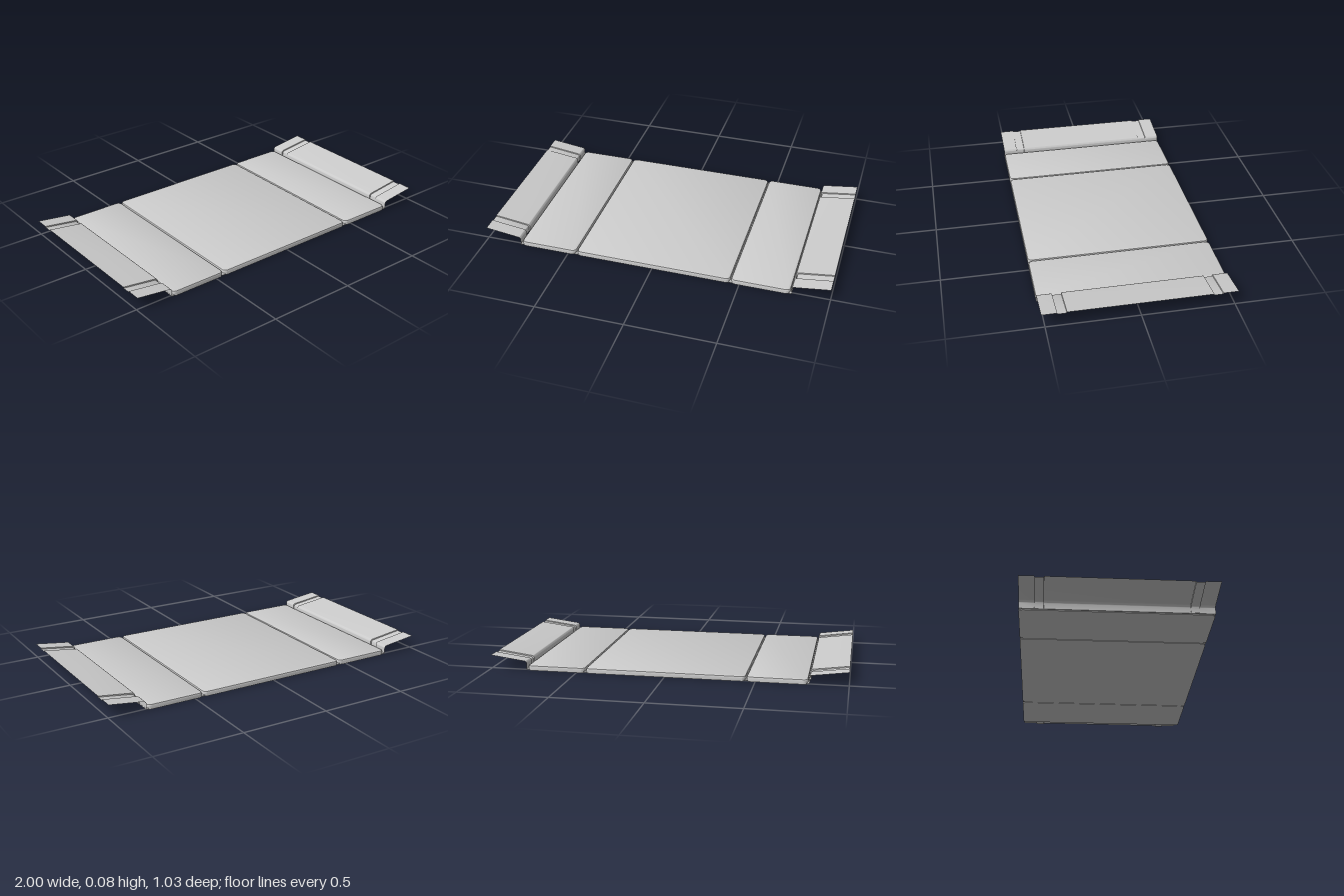
import * as THREE from 'three';
import { toCreasedNormals } from 'three/addons/utils/BufferGeometryUtils.js';

const HALF_DEPTH = 0.517;
const material = new THREE.MeshStandardMaterial({ color: 0xcccccc });
const sheetMaterial = new THREE.MeshStandardMaterial({ color: 0xcccccc, side: THREE.DoubleSide });

// Rounded slab from x0 to x1 with a chamfered top rim and a flat base
function panel(name, x0, x1) {
  const bevel = 0.009, height = 0.028, r = 0.016;
  const a = x0 + bevel, b = x1 - bevel, d = HALF_DEPTH - bevel;
  const s = new THREE.Shape();
  s.moveTo(a + r, -d);
  s.lineTo(b - r, -d);
  s.absarc(b - r, -d + r, r, -Math.PI / 2, 0);
  s.lineTo(b, d - r);
  s.absarc(b - r, d - r, r, 0, Math.PI / 2);
  s.lineTo(a + r, d);
  s.absarc(a + r, d - r, r, Math.PI / 2, Math.PI);
  s.lineTo(a, -d + r);
  s.absarc(a + r, -d + r, r, Math.PI, Math.PI * 1.5);
  const geo = new THREE.ExtrudeGeometry(s, {
    depth: height - 2 * bevel, bevelThickness: bevel, bevelSize: bevel, bevelSegments: 2, curveSegments: 6,
  });
  geo.rotateX(-Math.PI / 2).translate(0, bevel, 0);
  // Press the lower bevel flat onto the ground
  const p = geo.attributes.position;
  for (let i = 0; i < p.count; i++) if (p.getY(i) < height / 2) p.setY(i, 0);
  const mesh = new THREE.Mesh(toCreasedNormals(geo, 0.4), material);
  mesh.name = name;
  return mesh;
}

// Thin strip joining neighbouring parts
function strip(name, x0, x1) {
  const geo = new THREE.BoxGeometry(x1 - x0, 0.004, HALF_DEPTH * 2);
  const mesh = new THREE.Mesh(geo, material);
  mesh.name = name;
  mesh.position.set((x0 + x1) / 2, 0.006, 0);
  return mesh;
}

// Raised flap: a bent sheet crossed by two pressed grooves
function flap(name, side) {
  const profile = [[0.79, 0.006], [0.79, 0.038]];
  for (let i = 1; i <= 6; i++) {
    const t = (i / 6) * 1.45;
    profile.push([0.804 - 0.014 * Math.cos(t), 0.038 + 0.014 * Math.sin(t)]);
  }
  profile.push([1, 0.078]);
  // [z, groove depth]
  const stations = [
    [-HALF_DEPTH, 0], [-0.435, 0], [-0.434, 0.006], [-0.386, 0.006], [-0.385, 0],
    [0.385, 0], [0.386, 0.006], [0.434, 0.006], [0.435, 0], [HALF_DEPTH, 0],
  ];
  const pos = [], index = [], n = profile.length;
  for (const [z, g] of stations) {
    profile.forEach(([x, y], i) => {
      const drop = i === 0 ? 0 : g;
      pos.push(side * Math.min(1, x + g), y - drop, z);
    });
  }
  for (let j = 0; j < stations.length - 1; j++) {
    for (let i = 0; i < n - 1; i++) {
      const a = j * n + i, b = a + 1, c = a + n, d = c + 1;
      if (side > 0) index.push(a, c, b, b, c, d);
      else index.push(a, b, c, b, d, c);
    }
  }
  const geo = new THREE.BufferGeometry();
  geo.setAttribute('position', new THREE.Float32BufferAttribute(pos, 3));
  geo.setIndex(index);
  const mesh = new THREE.Mesh(toCreasedNormals(geo, 0.6), sheetMaterial);
  mesh.name = name;
  return mesh;
}

export function createModel() {
  const group = new THREE.Group();
  group.name = 'foldingPanel';
  group.add(panel('centrePanel', -0.447, 0.447));
  for (const [label, side] of [['left', 1], ['right', -1]]) {
    const span = (a, b) => (side > 0 ? [a, b] : [-b, -a]);
    group.add(
      panel(label + 'Panel', ...span(0.453, 0.783)),
      strip(label + 'Hinge', ...span(0.44, 0.46)),
      strip(label + 'FlapFoot', ...span(0.775, 0.791)),
      flap(label + 'Flap', side),
    );
  }
  return group;
}
